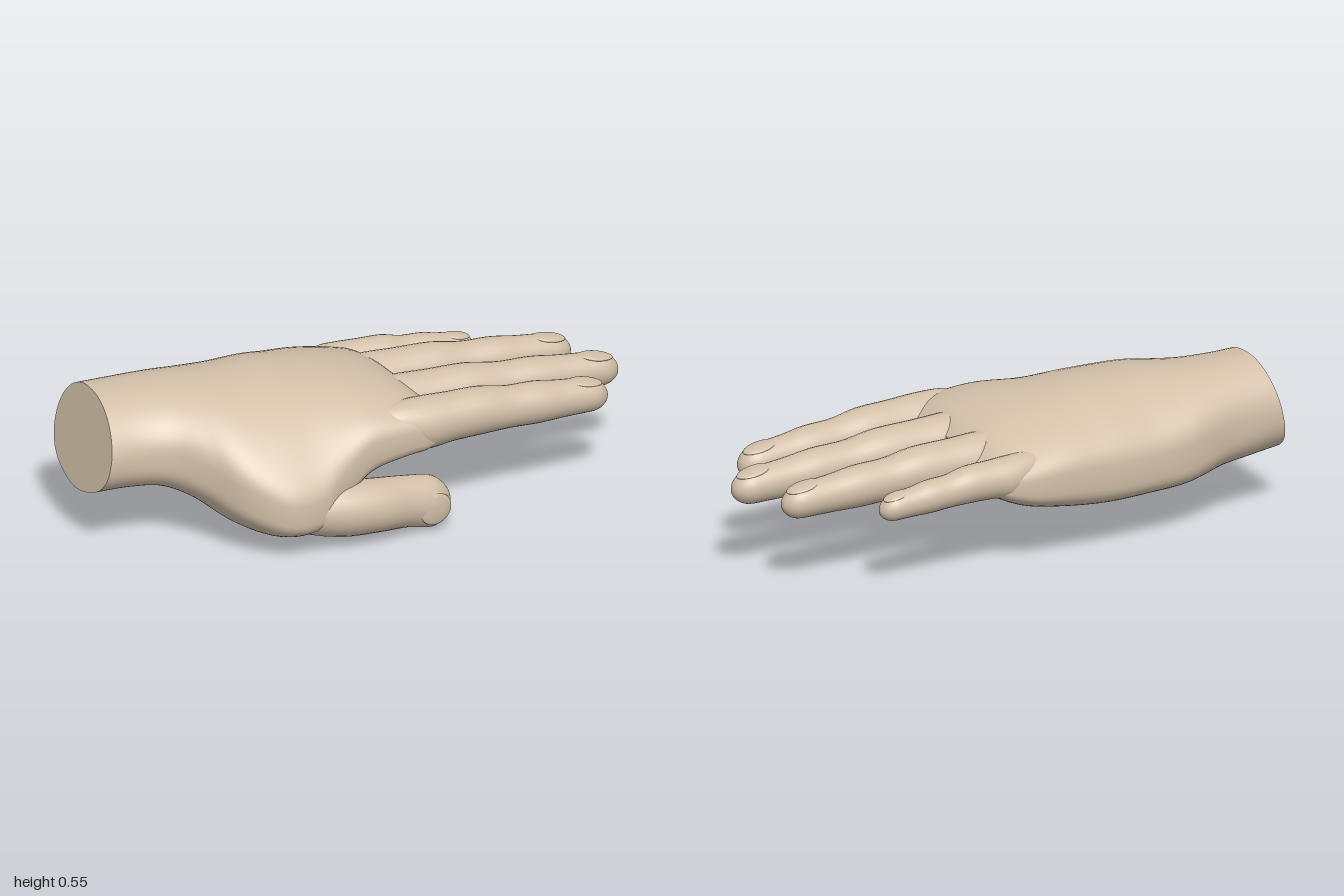
import * as THREE from 'three';

const skin = new THREE.MeshStandardMaterial({ color: 0xd2bfa8 });

// Smoothly interpolated row of a table at t in 0..1
function sample(rows, t) {
  const f = t * (rows.length - 1);
  const i = Math.max(0, Math.min(Math.floor(f), rows.length - 2)), u = f - i;
  const at = k => rows[Math.max(0, Math.min(rows.length - 1, k))];
  return rows[0].map((_, c) => {
    const a = at(i - 1)[c], b = at(i)[c], d = at(i + 1)[c], e = at(i + 2)[c];
    const m0 = (d - a) / 2, m1 = (e - b) / 2;
    return b + m0 * u + (3 * (d - b) - 2 * m0 - m1) * u * u + (2 * (b - d) + m0 + m1) * u * u * u;
  });
}

// Skin over closed rings that advance along +x, with separate flat end caps
function loft(rings) {
  const n = rings[0].length, pos = [], index = [];
  rings.forEach(r => r.forEach(p => pos.push(...p)));
  for (let i = 0; i < rings.length - 1; i++) {
    for (let j = 0; j < n; j++) {
      const a = i * n + j, b = i * n + (j + 1) % n;
      index.push(a, a + n, b, b, a + n, b + n);
    }
  }
  [rings[0], rings[rings.length - 1]].forEach((ring, end) => {
    const start = pos.length / 3;
    ring.forEach(p => pos.push(...p));
    pos.push(...[0, 1, 2].map(c => ring.reduce((s, p) => s + p[c], 0) / n));
    for (let j = 0; j < n; j++) {
      const a = start + j, b = start + (j + 1) % n;
      if (end) index.push(start + n, b, a);
      else index.push(start + n, a, b);
    }
  });
  const g = new THREE.BufferGeometry();
  g.setAttribute('position', new THREE.Float32BufferAttribute(pos, 3));
  g.setIndex(index);
  g.computeVertexNormals();
  return g;
}

function addMesh(parent, name, geometry) {
  const m = new THREE.Mesh(geometry, skin);
  m.name = name;
  parent.add(m);
  return m;
}

// Round digit from rows of [x, y, z, ry, rz], ending in a domed tip
function digit(rows, dome) {
  const rings = [], tip = rows[rows.length - 1][0];
  for (let i = 0; i <= 44; i++) {
    const [x, y, z, ry, rz] = sample(rows, Math.sin(i / 44 * Math.PI / 2));
    const q = Math.min(1, Math.max(0, (x - tip + dome) / dome));
    const k = Math.max(0.02, Math.sqrt(1 - q * q));
    rings.push(Array.from({ length: 28 }, (_, j) => {
      const a = j / 28 * Math.PI * 2;
      return [x, y + Math.sin(a) * ry * k, z + Math.cos(a) * rz * k];
    }));
  }
  return loft(rings);
}

// Palm stations: x, zMin, zMax, top (back, mid, front), underside (heel, hollow, thumb pad)
const PALM = [
  [-1.0, -0.37, 0.07, 0.53, 0.55, 0.49, 0.20, 0.19, 0.20],
  [-0.87, -0.375, 0.075, 0.52, 0.547, 0.49, 0.19, 0.20, 0.20],
  [-0.75, -0.385, 0.11, 0.51, 0.545, 0.48, 0.18, 0.20, 0.195],
  [-0.65, -0.405, 0.20, 0.49, 0.545, 0.44, 0.16, 0.185, 0.16],
  [-0.55, -0.42, 0.32, 0.47, 0.545, 0.38, 0.145, 0.165, 0.09],
  [-0.43, -0.425, 0.40, 0.46, 0.54, 0.32, 0.14, 0.155, 0.045],
  [-0.30, -0.43, 0.405, 0.46, 0.54, 0.33, 0.14, 0.17, 0.045],
  [-0.20, -0.43, 0.37, 0.46, 0.53, 0.40, 0.15, 0.19, 0.11],
  [-0.08, -0.43, 0.345, 0.455, 0.52, 0.46, 0.17, 0.21, 0.20],
  [0.05, -0.425, 0.34, 0.43, 0.495, 0.46, 0.20, 0.225, 0.235],
  [0.14, -0.41, 0.335, 0.41, 0.46, 0.44, 0.24, 0.245, 0.25],
  [0.20, -0.38, 0.32, 0.37, 0.41, 0.40, 0.28, 0.28, 0.28],
];

function palmGeometry() {
  const bend = (a, b, c, u) => b + (c - a) / 2 * u + ((a + c) / 2 - b) * u * u;
  const power = (v, e) => Math.sign(v) * Math.pow(Math.abs(v), e);
  const rings = [];
  for (let i = 0; i <= 66; i++) {
    const [x, z0, z1, ta, tb, tc, ba, bb, bc] = sample(PALM, i / 66);
    // The cut wrist is oval and slanted, the palm squarer
    const wrist = Math.max(0, 1 - (x + 1) / 0.4);
    rings.push(Array.from({ length: 64 }, (_, j) => {
      const a = j / 64 * Math.PI * 2;
      const u = power(Math.cos(a), 0.8), s = power(Math.sin(a), 0.55 + 0.35 * wrist);
      const top = bend(ta, tb, tc, u);
      const bottom = sample([[ba], [ba], [bb], [bc], [bc]], (u + 1) / 2)[0];
      const y = (top + bottom) / 2 + s * (top - bottom) / 2;
      return [x + 0.19 * wrist * (y - 0.19), y, (z0 + z1) / 2 + u * (z1 - z0) / 2];
    }));
  }
  return loft(rings);
}

// Shared finger profile: fraction of length, centre height, radius
const FINGER = [
  [-0.20, 0.39, 0.04], [-0.08, 0.38, 0.075], [0.06, 0.362, 0.096], [0.20, 0.363, 0.09],
  [0.36, 0.362, 0.087], [0.50, 0.352, 0.077], [0.64, 0.347, 0.077], [0.76, 0.34, 0.069],
  [0.90, 0.333, 0.063], [1.0, 0.325, 0.056],
];

// Name, tip x, base z, tip z, thickness, height offset
const FINGERS = [
  ['indexFinger', 0.87, 0.25, 0.25, 0.98, 0.005],
  ['middleFinger', 1.0, 0.045, 0.07, 1.0, 0],
  ['ringFinger', 0.92, -0.165, -0.14, 0.97, 0],
  ['littleFinger', 0.64, -0.345, -0.335, 0.76, -0.01],
];

export function createModel() {
  const hand = new THREE.Group();
  hand.name = 'hand';
  addMesh(hand, 'palmAndWrist', palmGeometry());

  // Fingers with nails on top
  for (const [name, tip, zBase, zTip, k, lift] of FINGERS) {
    const finger = new THREE.Group();
    finger.name = name;
    hand.add(finger);
    const rows = FINGER.map(([s, y, r]) => [
      0.1 + (tip - 0.1) * s, y + lift, zBase + (zTip - zBase) * Math.max(0, s), r * k, r * k * 0.97]);
    addMesh(finger, name + 'Body', digit(rows, 0.07 * k));
    const nail = addMesh(finger, name + 'Nail', new THREE.SphereGeometry(1, 24, 16));
    nail.scale.set(0.066 * k, 0.012, 0.042 * k);
    nail.position.set(tip - 0.085 * k, 0.332 + lift + 0.052 * k, zTip);
    nail.rotation.z = -0.2;
  }

  // Thumb, lower and beside the palm, nail facing forward
  const thumb = new THREE.Group();
  thumb.name = 'thumb';
  hand.add(thumb);
  addMesh(thumb, 'thumbBody', digit([
    [-0.48, 0.18, 0.25, 0.04, 0.04],
    [-0.36, 0.16, 0.295, 0.085, 0.085],
    [-0.22, 0.143, 0.325, 0.10, 0.098],
    [-0.08, 0.132, 0.335, 0.097, 0.095],
    [0.04, 0.117, 0.325, 0.094, 0.083],
    [0.14, 0.098, 0.32, 0.097, 0.077],
    [0.225, 0.09, 0.315, 0.085, 0.066],
  ], 0.09));
  const thumbNail = addMesh(thumb, 'thumbNail', new THREE.SphereGeometry(1, 24, 16));
  thumbNail.scale.set(0.066, 0.058, 0.012);
  thumbNail.position.set(0.14, 0.09, 0.384);
  thumbNail.rotation.y = 0.18;

  return hand;
}
